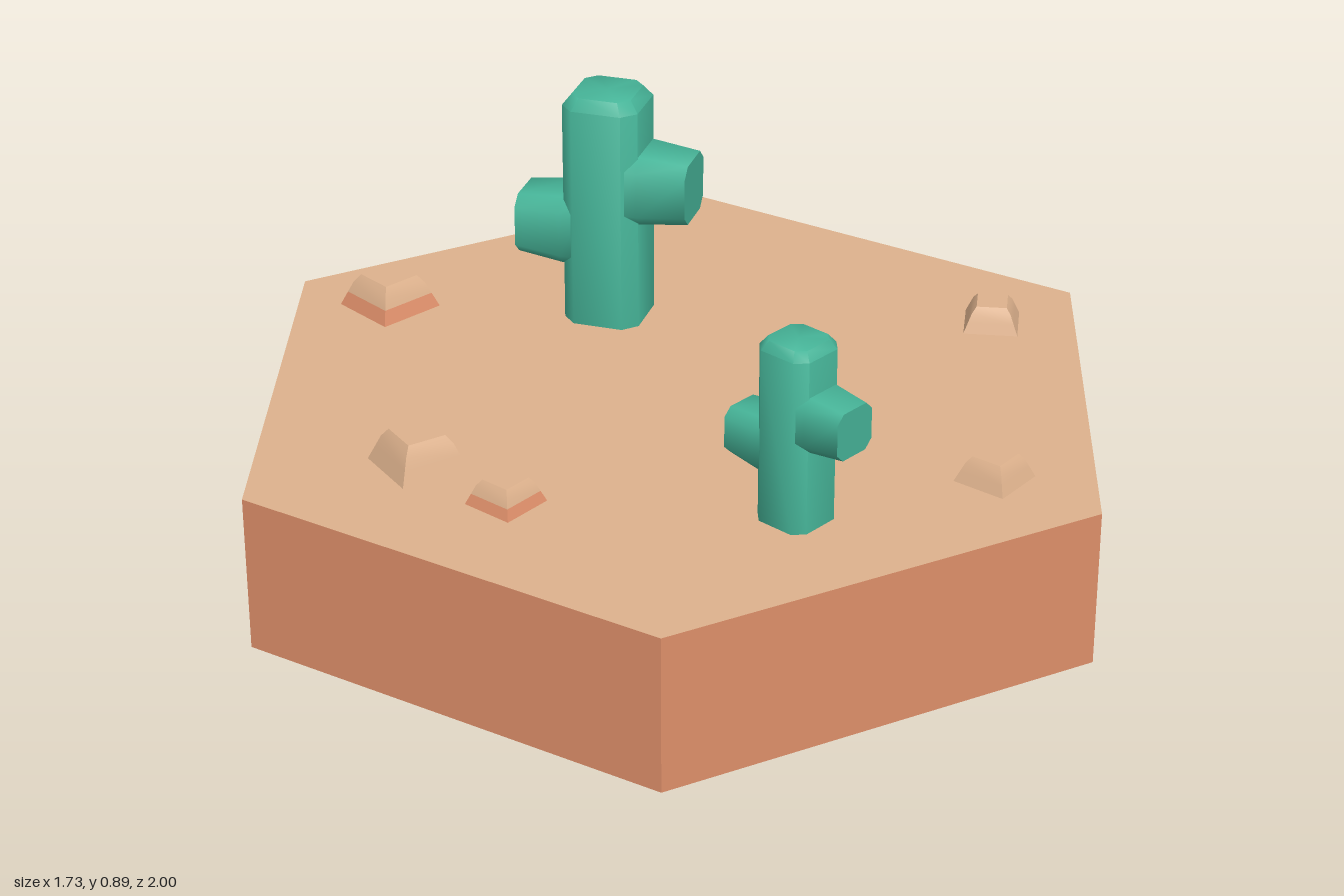
import * as THREE from 'three';
import { toCreasedNormals } from 'three/addons/utils/BufferGeometryUtils.js';

const material = (name, color) => {
  const m = new THREE.MeshStandardMaterial({ color });
  m.name = name;
  return m;
};

const GROUND = 0.35;
const CREASE = THREE.MathUtils.degToRad(50);
// Corners of a chamfered square, in order from +z towards +x
const C = 0.65;
const CORNERS = [[C, 1], [1, C], [1, -C], [C, -1], [-C, -1], [-1, -C], [-1, C], [-C, 1]];

const lathe = (profile, sides) =>
  new THREE.LatheGeometry(profile.map(([r, y]) => new THREE.Vector2(r, y)), sides);

// Post with a chamfered square section; profile is [half width, height]
function chamferedPost(profile) {
  const geo = lathe(profile, 8);
  const pos = geo.attributes.position;
  for (let i = 0; i < pos.count; i++) {
    const [r, y] = profile[i % profile.length];
    const [cx, cz] = CORNERS[Math.floor(i / profile.length) % 8];
    pos.setXYZ(i, cx * r, y, cz * r);
  }
  return toCreasedNormals(geo, CREASE);
}

function addMesh(parent, name, geo, mat) {
  const mesh = new THREE.Mesh(geo, mat);
  mesh.name = name;
  parent.add(mesh);
  return mesh;
}

// Trunk with a low arm on one side and a high arm on the other
function makeCactus(name, x, z, turn, scale, green) {
  const cactus = new THREE.Group();
  cactus.name = name;
  addMesh(cactus, 'trunk', chamferedPost([[0, 0], [0.086, 0], [0.086, 0.51], [0.067, 0.535], [0, 0.535]]), green);
  const armGeo = chamferedPost([[0, 0.04], [0.08, 0.04], [0.08, 0.09], [0.069, 0.196], [0, 0.196]]);
  for (const [armName, side, y] of [['highArm', 1, 0.327], ['lowArm', -1, 0.21]]) {
    const arm = addMesh(cactus, armName, armGeo, green);
    arm.rotation.z = -side * Math.PI / 2;
    arm.position.y = y;
  }
  cactus.position.set(x, GROUND, z);
  cactus.rotation.y = turn;
  cactus.scale.setScalar(scale);
  return cactus;
}

// Four-sided stone with a bevelled top; some have a darker foot
function makeRock(x, z, radius, height, turn, hasFoot, sand, clay) {
  const rock = new THREE.Group();
  rock.name = 'rock';
  const split = 0.42;
  const rAt = (t) => radius * (1 - 0.37 * t);
  const foot = [[radius, 0], [rAt(split), height * split]];
  const top = [foot[1], [rAt(0.76), height * 0.76], [radius * 0.56, height], [0, height]];
  const add = (name, profile, mat) => addMesh(rock, name, toCreasedNormals(lathe(profile, 4), CREASE), mat);
  add('rockFoot', foot, hasFoot ? clay : sand);
  add('rockTop', top, sand);
  rock.position.set(x, GROUND, z);
  rock.rotation.y = turn;
  return rock;
}

export function createModel() {
  const model = new THREE.Group();
  model.name = 'desertTile';
  const sand = material('sand', 0xdeb28d);
  const clay = material('clay', 0xde8f6a);
  const green = material('cactusGreen', 0x46b498);

  // Hexagonal ground block: clay sides and base, sand top
  const block = new THREE.CylinderGeometry(1, 1, GROUND, 6).toNonIndexed();
  block.computeVertexNormals();
  addMesh(model, 'ground', block, [clay, sand, clay]).position.y = GROUND / 2;

  model.add(
    makeCactus('largeCactus', -0.167, -0.378, -0.27, 1, green),
    makeCactus('smallCactus', 0.252, 0.528, -0.71, 0.75, green),
  );

  // x, z, corner radius, height, turn, darker foot
  const rocks = [
    [-0.66, -0.388, 0.111, 0.075, 0, true],
    [-0.525, 0.34, 0.108, 0.075, -0.19, false],
    [-0.332, 0.493, 0.083, 0.055, 0.12, true],
    [0.682, -0.343, 0.084, 0.055, 0.7, false],
    [0.657, 0.362, 0.085, 0.055, 0.15, false],
  ];
  for (const r of rocks) model.add(makeRock(...r, sand, clay));
  return model;
}
